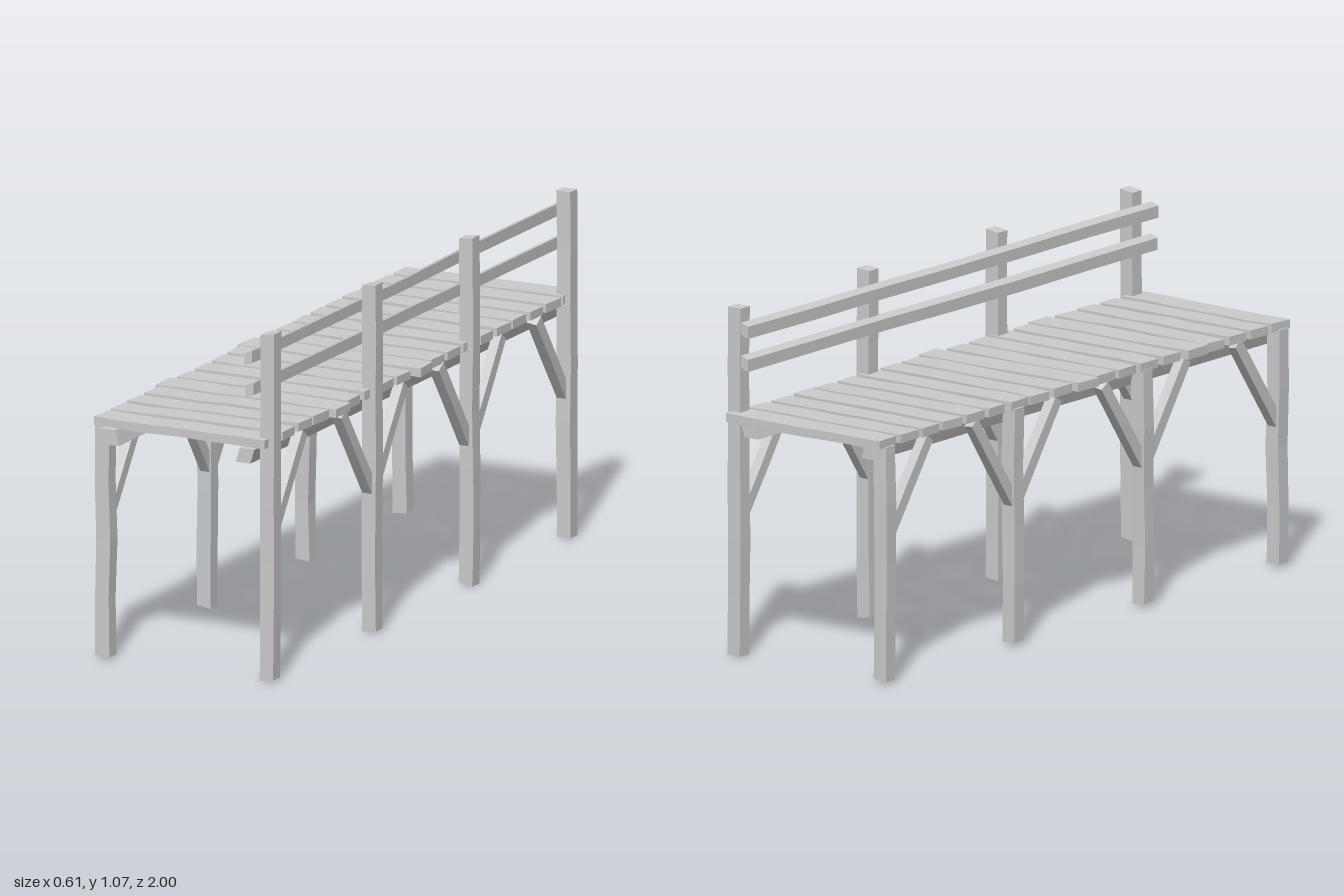
import * as THREE from 'three';

const wood = new THREE.MeshStandardMaterial({ color: 0xcccccc, flatShading: true });

// small seeded generator for hand-hewn irregularity
let seed = 7;
const rnd = () => {
  seed = (seed * 16807) % 2147483647;
  return (seed / 2147483647) * 2 - 1;
};

// crooked timber lying along local z; each cross-section is shifted and resized a little
function timber(name, w, h, length, { rings = 5, wobble = 0.003, skewX = 0, skewY = 0, endCut = 0.004 } = {}) {
  const geo = new THREE.BoxGeometry(w, h, length, 1, 1, rings);
  const sections = Array.from({ length: rings + 1 }, () => ({
    dx: rnd() * wobble, dy: rnd() * wobble * 0.6,
    sx: 1 + rnd() * 0.05, sy: 1 + rnd() * 0.04,
  }));
  const cuts = [rnd() * endCut, rnd() * endCut];
  const p = geo.attributes.position;
  for (let i = 0; i < p.count; i++) {
    const x = p.getX(i), y = p.getY(i), z = p.getZ(i);
    const ring = Math.round((z / length + 0.5) * rings);
    const s = sections[ring];
    // slightly slanted saw cuts at both ends
    const cut = ring === 0 ? cuts[0] : ring === rings ? cuts[1] : 0;
    p.setXYZ(i, x * s.sx + s.dx + y * skewX, y * s.sy + s.dy + x * skewY, z + Math.sign(x) * cut);
  }
  geo.computeVertexNormals();
  const mesh = new THREE.Mesh(geo, wood);
  mesh.name = name;
  return mesh;
}

// timber between two points (y, z) in a lengthwise plane at the given x
function beamBetween(name, x, [y0, z0], [y1, z1], w, h, options) {
  const mesh = timber(name, w, h, Math.hypot(y1 - y0, z1 - z0), options);
  mesh.position.set(x, (y0 + y1) / 2, (z0 + z1) / 2);
  mesh.rotation.x = -Math.atan2(y1 - y0, z1 - z0);
  return mesh;
}

export function createModel() {
  const model = new THREE.Group();
  model.name = 'boardwalk';
  const postZ = [0.936, 0.29, -0.33, -0.947];

  // posts: tall on the railing side, short on the open side
  const posts = new THREE.Group();
  posts.name = 'posts';
  for (const z of postZ) {
    posts.add(beamBetween('tallPost', 0.278, [0.003, z], [1.067, z], 0.046, 0.045, { rings: 6, wobble: 0.002 }));
    posts.add(beamBetween('shortPost', -0.274, [0.01, z], [0.725, z], 0.046, 0.045, { rings: 4 }));
  }
  model.add(posts);

  // long bearers under the deck and diagonal braces up to it
  const frame = new THREE.Group();
  frame.name = 'underframe';
  for (const side of [-1, 1]) {
    frame.add(beamBetween('bearer', side * 0.228, [0.698, -0.96], [0.698, 1], 0.05, 0.045,
      { rings: 6, wobble: 0.002, skewX: side * 0.3, endCut: 0 }));
    postZ.forEach((z, i) => {
      for (const dir of [1, -1]) {
        if ((i === 0 && dir === 1) || (i === postZ.length - 1 && dir === -1)) continue;
        frame.add(beamBetween('brace', side * 0.272, [0.435, z + dir * 0.005], [0.715, z + dir * 0.2],
          0.032, 0.036, { rings: 2, wobble: 0.001 }));
      }
    });
  }
  model.add(frame);

  // deck planks, a few of them longer and wider than the rest
  const deck = new THREE.Group();
  deck.name = 'deck';
  const count = 19;
  for (let i = 0; i < count; i++) {
    const big = i === 9 || i === 14;
    const width = big ? 0.092 : 0.083 + rnd() * 0.004;
    const plank = timber('plank', width, 0.027, big ? 0.605 : 0.575, { rings: 6, wobble: 0.0025, endCut: 0.003 });
    plank.position.set(big || i === 0 ? -0.002 : -0.004, 0.735, -0.955 + i * 0.105);
    plank.rotation.y = Math.PI / 2 + rnd() * 0.012;
    deck.add(plank);
  }
  model.add(deck);

  // two handrails on the inner face of the tall posts
  const railing = new THREE.Group();
  railing.name = 'railing';
  for (const y of [0.9, 1.0]) {
    railing.add(beamBetween('rail', 0.241, [y, -0.965], [y, 1], 0.027, 0.036,
      { rings: 6, wobble: 0.003, skewY: 0.35, endCut: 0 }));
  }
  model.add(railing);
  return model;
}
